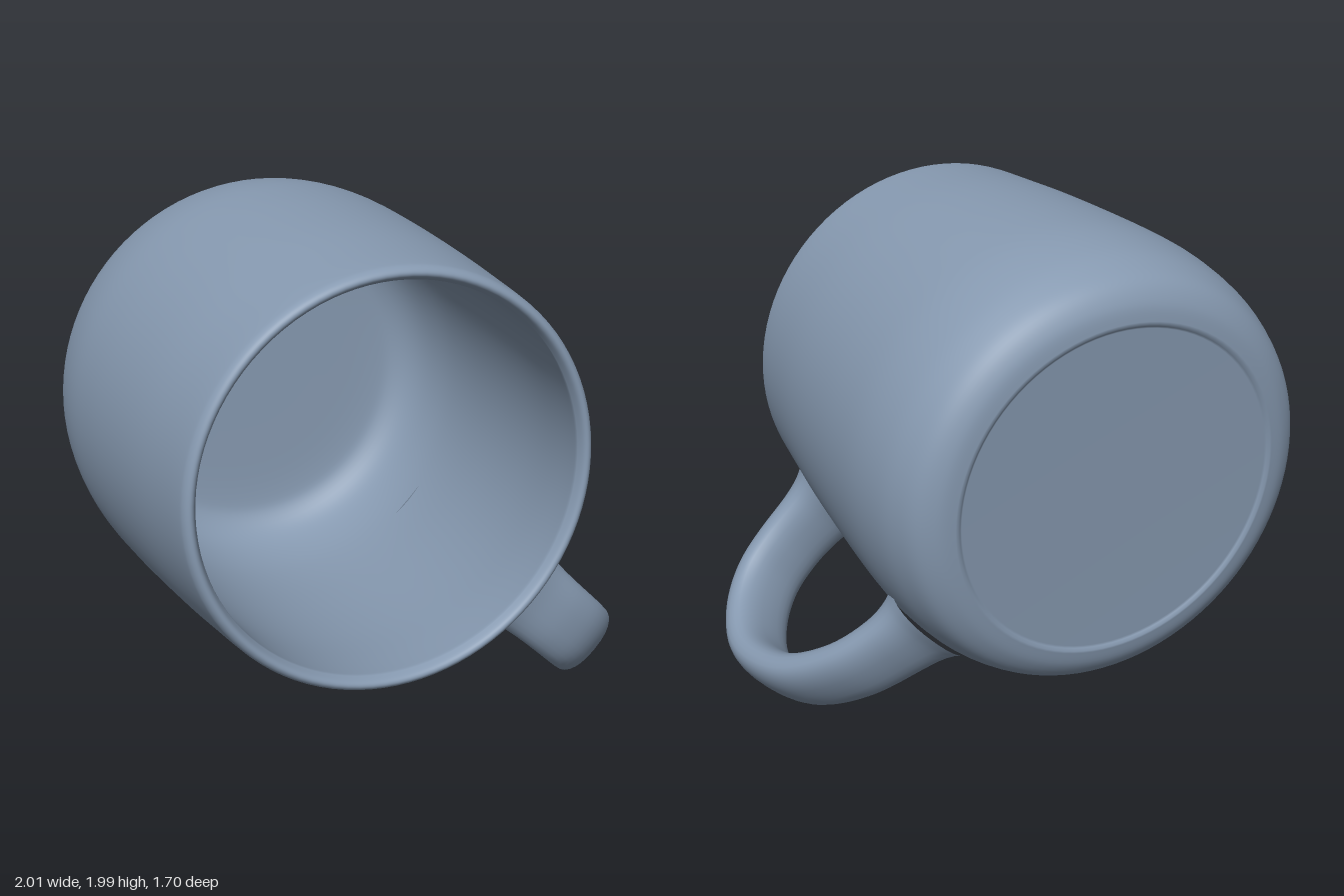
import * as THREE from 'three';

const glaze = new THREE.MeshStandardMaterial({ color: 0x8699b0 });
glaze.name = 'blue grey glaze';

const v2 = (p) => new THREE.Vector2(p[0], p[1]);
const smooth = (pts, n) => new THREE.SplineCurve(pts.map(v2)).getPoints(n);

// Cup wall as one closed profile: base, outside, rounded lip, inside, floor
function cupGeometry() {
  const base = [[0, -0.793], [0.632, -0.793], [0.64, -0.797]].map(v2);
  const outside = smooth([
    [0.65, -0.805], [0.72, -0.79], [0.785, -0.745], [0.825, -0.67], [0.855, -0.56],
    [0.872, -0.38], [0.867, -0.15], [0.853, 0.1], [0.835, 0.35], [0.813, 0.58],
    [0.797, 0.74], [0.788, 0.785], [0.77, 0.803], [0.752, 0.796], [0.738, 0.765],
  ], 70);
  const inside = smooth([
    [0.738, 0.755], [0.748, 0.6], [0.768, 0.35], [0.786, 0.05], [0.796, -0.25],
    [0.785, -0.45], [0.745, -0.6], [0.67, -0.685], [0.56, -0.71], [0.3, -0.715], [0, -0.715],
  ], 50);
  return new THREE.LatheGeometry([...base, ...outside, ...inside], 96);
}

// Handle: a rounded strap swept along a loop, flaring where it joins the cup
function handleGeometry() {
  const centre = new THREE.Vector3(-0.145, 1.155, 0);
  const out = new THREE.Vector3(1, -1, 0).normalize();
  const across = new THREE.Vector3(1, 1, 0).normalize();
  // [distance from the cup axis, z]
  const loop = [
    [0.73, 0.63], [0.85, 0.65], [1.04, 0.665], [1.19, 0.64], [1.32, 0.55], [1.415, 0.4],
    [1.435, 0.25], [1.37, 0.0], [1.2, -0.21], [1.02, -0.325], [0.86, -0.39],
  ].map(([s, z]) => centre.clone().addScaledVector(out, s).setZ(z));
  const path = new THREE.CatmullRomCurve3(loop, false, 'centripetal');
  const rings = 64, sides = 28, pos = [], index = [];
  const round = (v) => Math.sign(v) * Math.pow(Math.abs(v), 0.85);
  for (let i = 0; i <= rings; i++) {
    const u = i / rings;
    const p = path.getPointAt(u);
    const normal = path.getTangentAt(u).cross(across);
    const flare = Math.exp(-Math.min(u, 1 - u) * 22);
    const a = 0.155 + 0.06 * flare;
    const b = 0.078 + 0.05 * flare;
    for (let j = 0; j < sides; j++) {
      const t = (j / sides) * Math.PI * 2;
      const q = p.clone()
        .addScaledVector(across, a * round(Math.cos(t)))
        .addScaledVector(normal, b * round(Math.sin(t)));
      pos.push(q.x, q.y, q.z);
      if (i < rings) {
        const k = (j + 1) % sides, r = i * sides, s = r + sides;
        index.push(r + j, r + k, s + k, r + j, s + k, s + j);
      }
    }
  }
  const geo = new THREE.BufferGeometry();
  geo.setAttribute('position', new THREE.Float32BufferAttribute(pos, 3));
  geo.setIndex(index);
  geo.computeVertexNormals();
  return geo;
}

export function createModel() {
  const mug = new THREE.Group();
  mug.name = 'mug';

  // Cup lies on its side, mouth to the front and slightly tilted
  const cup = new THREE.Mesh(cupGeometry(), glaze);
  cup.name = 'cup';
  const axis = new THREE.Vector3(-0.05, 0.05, 1).normalize();
  cup.quaternion.setFromUnitVectors(new THREE.Vector3(0, 1, 0), axis);
  cup.position.set(-0.15, 1.147, 0);

  const handle = new THREE.Mesh(handleGeometry(), glaze);
  handle.name = 'handle';

  mug.add(cup, handle);
  return mug;
}
